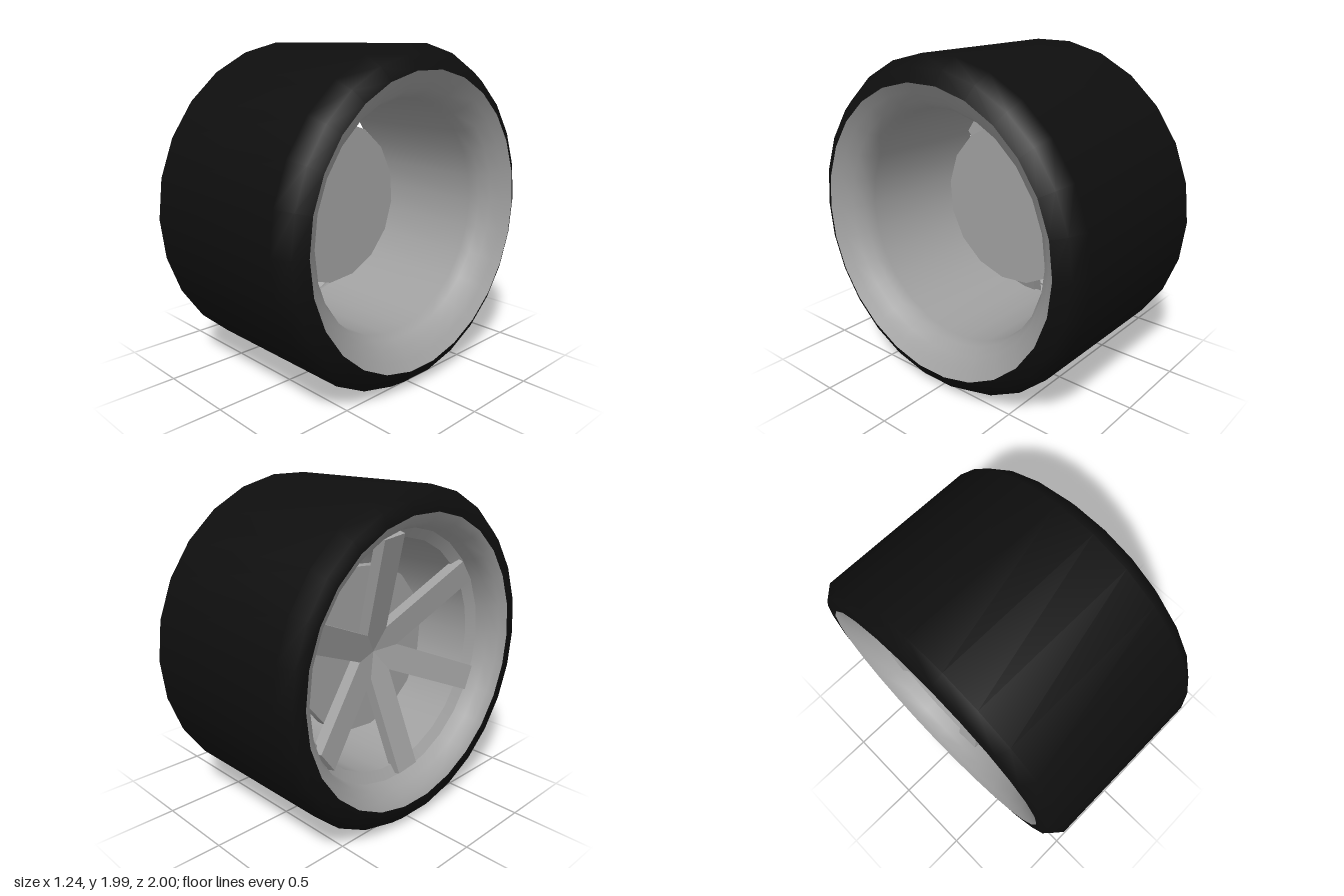
import * as THREE from 'three';

const SIDES = 26;

// Revolve [x, radius] points around the x axis
function revolve(name, points, material) {
  const geo = new THREE.LatheGeometry(points.map(([x, r]) => new THREE.Vector2(r, x)), SIDES);
  geo.rotateZ(-Math.PI / 2);
  const mesh = new THREE.Mesh(geo, material);
  mesh.name = name;
  return mesh;
}

export function createModel() {
  const rubber = new THREE.MeshStandardMaterial({ color: 0x0e0e0e, side: THREE.DoubleSide });
  rubber.name = 'black rubber';
  const metal = new THREE.MeshStandardMaterial({ color: 0xa0a0a0, side: THREE.DoubleSide });
  metal.name = 'grey metal';

  const model = new THREE.Group();
  model.name = 'wheel';
  const wheel = new THREE.Group();
  wheel.name = 'wheelAssembly';
  wheel.position.y = 0.993;
  model.add(wheel);

  // Tyre: wide flat tread with bevelled shoulders
  wheel.add(revolve('tyre', [
    [-0.62, 0.86], [-0.61, 0.94], [-0.54, 1], [0.49, 1], [0.575, 0.94], [0.62, 0.86],
  ], rubber));

  // Barrel with a curved flare on the open end
  wheel.add(revolve('rimBarrel', [
    [-0.41, 0.7], [0.4, 0.7], [0.47, 0.71], [0.53, 0.75], [0.58, 0.81], [0.62, 0.86],
  ], metal));

  // Stepped lip on the spoke end
  wheel.add(revolve('rimStep', [[-0.45, 0.76], [-0.41, 0.7]], metal));
  wheel.add(revolve('rimLip', [
    [-0.62, 0.86], [-0.59, 0.81], [-0.53, 0.775], [-0.45, 0.76],
  ], metal));

  // Disc and spokes share a slight turn around the axle
  const centre = new THREE.Group();
  centre.name = 'wheelCentre';
  centre.rotation.x = -0.115;
  wheel.add(centre);

  const discGeo = new THREE.CylinderGeometry(0.517, 0.517, 0.07, 16);
  discGeo.rotateZ(-Math.PI / 2);
  const disc = new THREE.Mesh(discGeo, metal);
  disc.name = 'brakeDisc';
  disc.position.x = -0.145;
  centre.add(disc);

  // Six dished spokes
  const spokeGeo = new THREE.BoxGeometry(0.07, 0.775, 0.16);
  spokeGeo.translate(0, 0.3875, 0);
  spokeGeo.rotateZ(0.3);
  spokeGeo.translate(-0.215, 0, 0);
  for (let i = 0; i < 6; i++) {
    const spoke = new THREE.Mesh(spokeGeo, metal);
    spoke.name = `spoke${i + 1}`;
    spoke.rotation.x = (i * Math.PI) / 3;
    centre.add(spoke);
  }
  return model;
}
